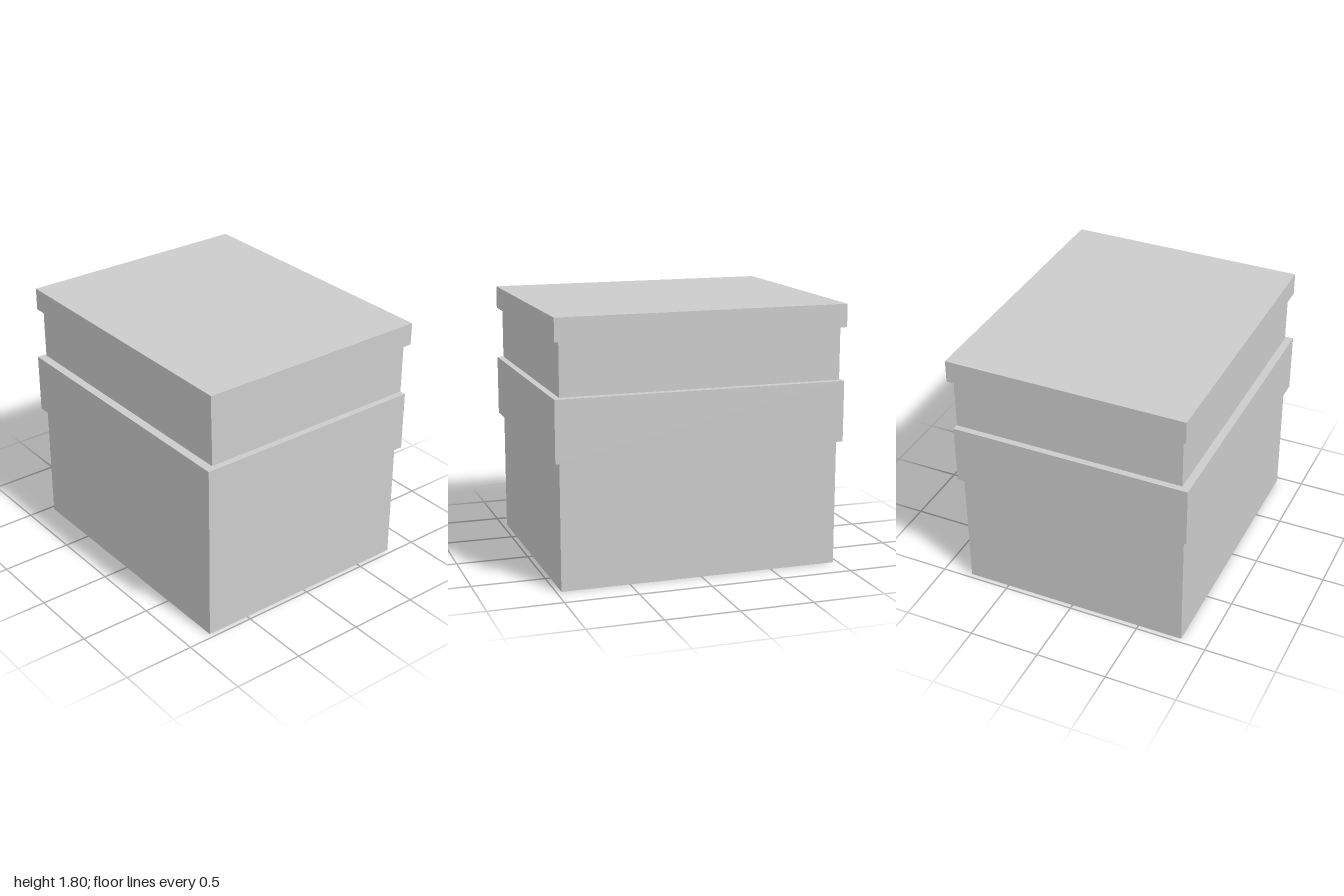
import * as THREE from 'three';

const material = new THREE.MeshStandardMaterial({ color: 0xcccccc, flatShading: true });

// Box spanning y0..y1, centred on x = 0
function slab(name, width, depth, y0, y1) {
  const mesh = new THREE.Mesh(new THREE.BoxGeometry(width, y1 - y0, depth), material);
  mesh.name = name;
  mesh.position.y = (y0 + y1) / 2;
  return mesh;
}

// A box with an overhanging lid, shifted along z
function liddedBox(name, z, bottom, rim, top) {
  const group = new THREE.Group();
  group.name = name;
  group.position.z = z;
  group.add(slab(name + 'Body', 1.932, 1.61, bottom, rim));
  group.add(slab(name + 'Lid', 2, 1.67, rim, top));
  return group;
}

export function createModel() {
  const model = new THREE.Group();
  model.name = 'stackedBoxes';
  // Tall lower box, slightly forward
  model.add(liddedBox('lowerBox', 0.01, 0, 0.86, 1.277));
  // Shallow upper box, slightly back, with a hairline gap beneath
  model.add(liddedBox('upperBox', -0.01, 1.286, 1.643, 1.799));
  return model;
}
